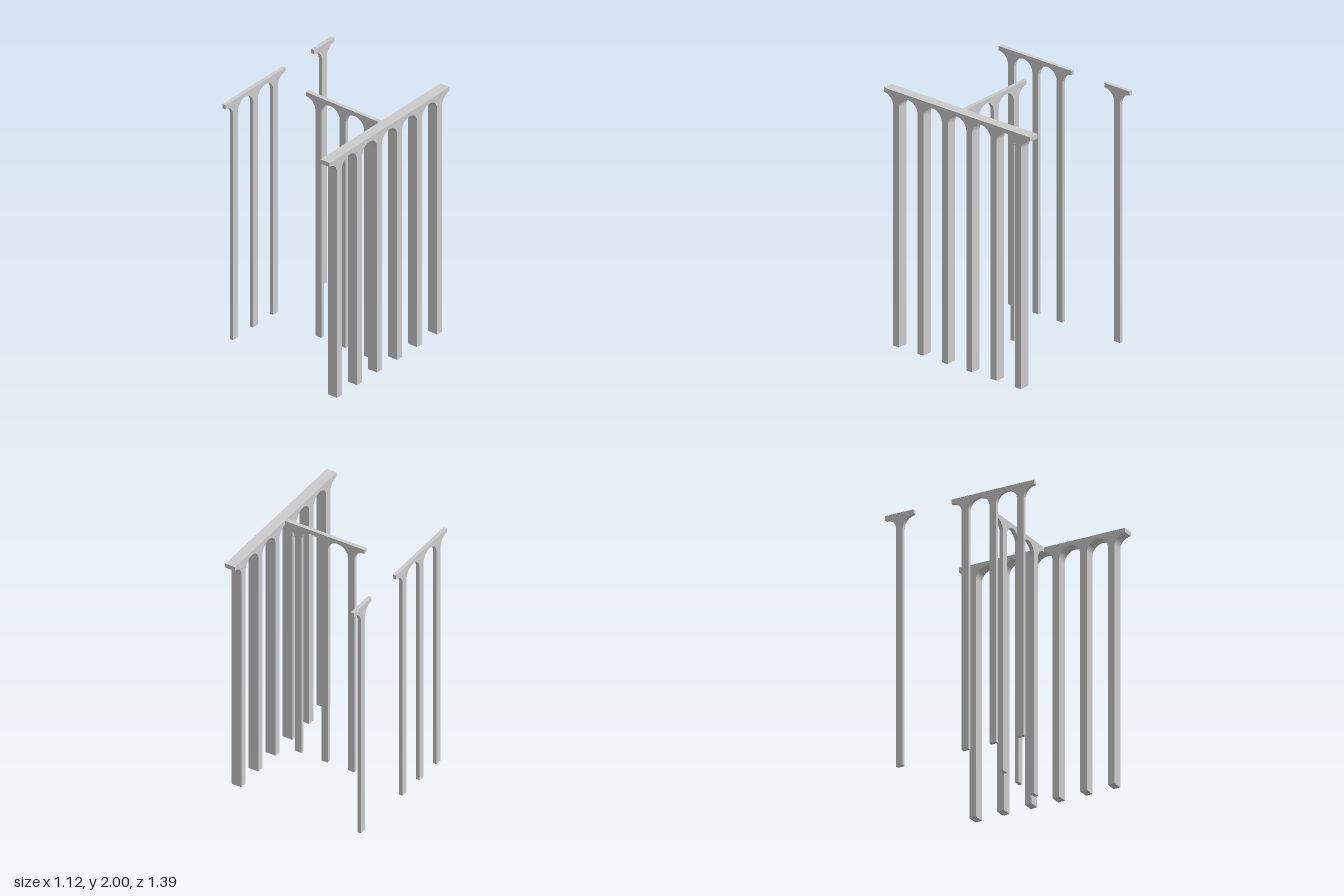
import * as THREE from 'three';

const material = new THREE.MeshStandardMaterial({ color: 0xcccccc });
const HEIGHT = 2;
const COLUMN = 0.055; // column width along the arcade
const CROWN = 1.966;  // underside of the beam at the arch tops

// An arcade running along +x from 0: equal bays, each a column with a
// half arch on either side, so neighbouring halves meet as round arches.
function arcade(name, bays, length, depth) {
  const bay = length / bays;
  const r = (bay - COLUMN) / 2;
  const spring = CROWN - r;
  const shape = new THREE.Shape();
  shape.moveTo(0, HEIGHT);
  shape.lineTo(0, CROWN);
  for (let i = 0; i < bays; i++) {
    const x = i * bay;
    shape.absarc(x, spring, r, Math.PI / 2, 0, true);
    shape.lineTo(x + r, 0);
    shape.lineTo(x + r + COLUMN, 0);
    shape.lineTo(x + r + COLUMN, spring);
    shape.absarc(x + bay, spring, r, Math.PI, Math.PI / 2, true);
  }
  shape.lineTo(length, HEIGHT);
  const geometry = new THREE.ExtrudeGeometry(shape, {
    depth, bevelEnabled: false, curveSegments: 10,
  });
  const mesh = new THREE.Mesh(geometry, material);
  mesh.name = name;
  return mesh;
}

// Turn an arcade to run from zFront towards the back, its thickness from x0 to x1.
function sideArcade(name, bays, x0, x1, zFront, zBack) {
  const mesh = arcade(name, bays, zFront - zBack, x1 - x0);
  mesh.rotation.y = Math.PI / 2;
  mesh.position.set(x0, 0, zFront);
  return mesh;
}

export function createModel() {
  const model = new THREE.Group();
  model.name = 'arcades';

  // Long thick arcade, short arcade and lone column, all running front to back
  model.add(sideArcade('mainArcade', 6, 0.473, 0.556, 0.695, -0.676));
  model.add(sideArcade('shortArcade', 3, -0.56, -0.532, 0.534, -0.15));
  model.add(sideArcade('loneColumn', 1, -0.551, -0.522, -0.466, -0.7));

  // Thin arcade meeting the main one at right angles
  const cross = arcade('crossArcade', 3, 0.673, 0.03);
  cross.position.set(-0.2, 0, -0.005);
  model.add(cross);

  return model;
}
